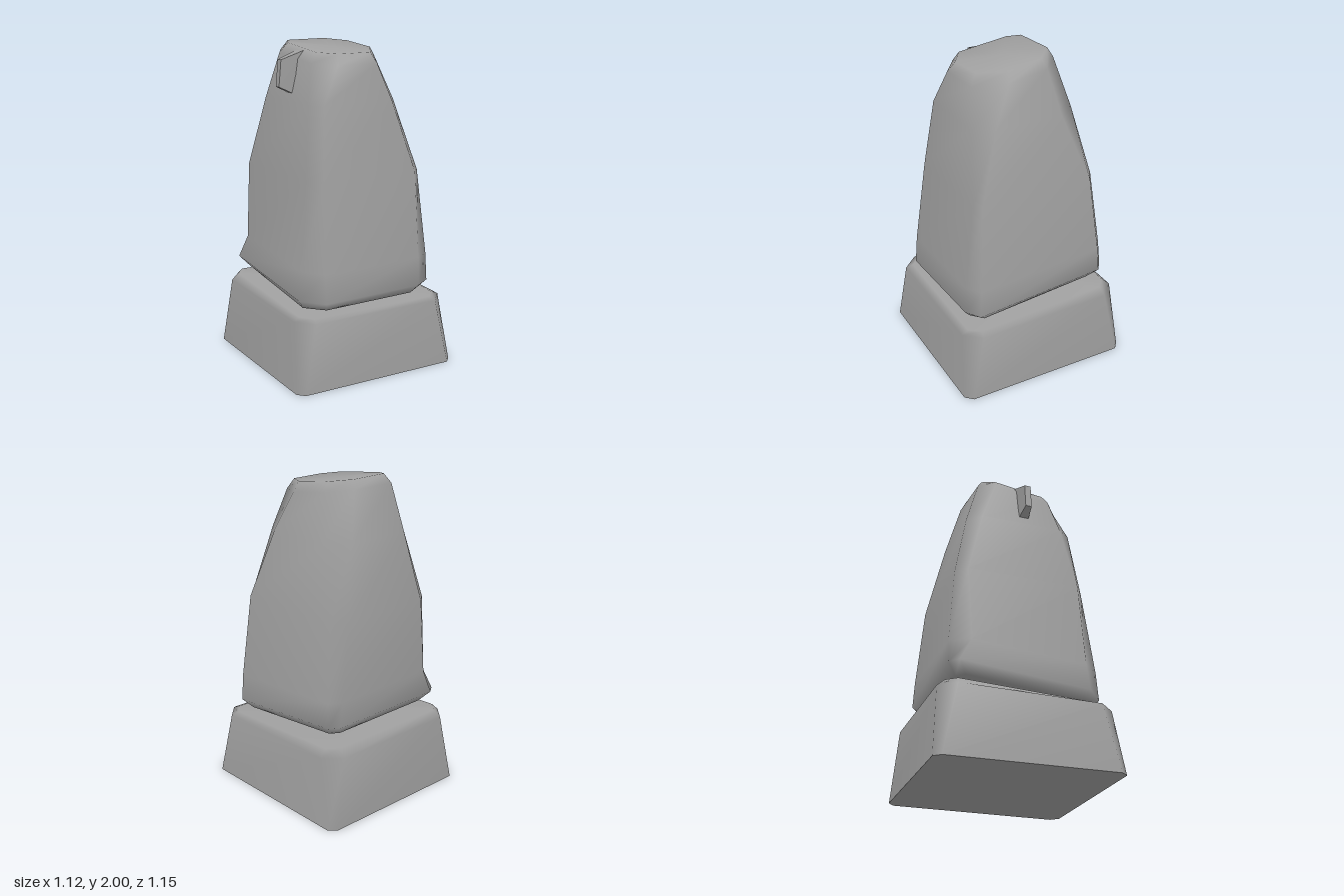
import * as THREE from 'three';

const stone = new THREE.MeshStandardMaterial({ color: 0xa0a0a0 });
stone.name = 'grey stone';

// Skin between rings of [x, z] corners; each ring lies on the plane y + slope * z.
// Shared vertices let large faces dominate the normals, so the bevels look soft.
function loft(rings, capBottom, capTop) {
  const pos = [], idx = [], n = rings[0].pts.length;
  const height = (r, z) => r.y + (r.slope || 0) * z;
  for (const r of rings) for (const [x, z] of r.pts) pos.push(x, height(r, z), z);
  for (let k = 0; k < rings.length - 1; k++) {
    for (let i = 0; i < n; i++) {
      const j = (i + 1) % n;
      const a = k * n + i, b = k * n + j, c = a + n, d = b + n;
      idx.push(b, a, c, b, c, d);
    }
  }
  const cap = (k, up) => {
    const r = rings[k], m = pos.length / 3;
    const x = r.pts.reduce((s, p) => s + p[0], 0) / n;
    const z = r.pts.reduce((s, p) => s + p[1], 0) / n;
    pos.push(x, height(r, z), z);
    for (let i = 0; i < n; i++) {
      const a = k * n + i, b = k * n + (i + 1) % n;
      if (up) idx.push(m, b, a); else idx.push(m, a, b);
    }
  };
  if (capBottom) cap(0, false);
  if (capTop) cap(rings.length - 1, true);
  const g = new THREE.BufferGeometry();
  g.setAttribute('position', new THREE.Float32BufferAttribute(pos, 3));
  g.setIndex(idx);
  g.computeVertexNormals();
  return g;
}

// Corners run back left, back right, front right, front left, two points each
const plinthRings = [
  { y: 0, pts: [[-0.53, -0.53], [-0.49, -0.575], [0.51, -0.56], [0.555, -0.52],
    [0.545, 0.53], [0.50, 0.575], [-0.52, 0.555], [-0.56, 0.51]] },
  { y: 0.425, slope: -0.025, pts: [[-0.50, -0.44], [-0.41, -0.54], [0.43, -0.53], [0.525, -0.43],
    [0.515, 0.44], [0.42, 0.54], [-0.43, 0.525], [-0.525, 0.42]] },
  { y: 0.455, slope: -0.055, pts: [[-0.46, -0.43], [-0.40, -0.49], [0.41, -0.48], [0.48, -0.42],
    [0.47, 0.43], [0.41, 0.495], [-0.42, 0.48], [-0.48, 0.41]] },
];

const bodyRings = [
  { y: 0.495, slope: -0.1, pts: [[-0.40, -0.37], [-0.34, -0.41], [0.35, -0.41], [0.40, -0.37],
    [0.39, 0.37], [0.31, 0.43], [-0.31, 0.44], [-0.42, 0.35]] },
  { y: 0.555, slope: -0.1, pts: [[-0.455, -0.42], [-0.39, -0.468], [0.40, -0.465], [0.455, -0.42],
    [0.44, 0.42], [0.34, 0.475], [-0.34, 0.49], [-0.463, 0.38]] },
  { y: 0.72, slope: -0.08, pts: [[-0.43, -0.34], [-0.33, -0.455], [0.38, -0.46], [0.448, -0.41],
    [0.435, 0.41], [0.34, 0.465], [-0.34, 0.475], [-0.435, 0.37]] },
  { y: 1.22, pts: [[-0.40, -0.36], [-0.32, -0.425], [0.30, -0.43], [0.39, -0.37],
    [0.385, 0.37], [0.34, 0.41], [-0.31, 0.41], [-0.395, 0.35]] },
  { y: 1.65, pts: [[-0.33, -0.25], [-0.25, -0.335], [0.19, -0.34], [0.30, -0.21],
    [0.295, 0.23], [0.21, 0.345], [-0.27, 0.35], [-0.33, 0.27]] },
  { y: 1.91, slope: -0.12, pts: [[-0.285, -0.15], [-0.22, -0.25], [0.10, -0.265], [0.225, -0.15],
    [0.24, 0.11], [0.13, 0.30], [-0.15, 0.31], [-0.275, 0.21]] },
  { y: 1.97, slope: -0.12, pts: [[-0.235, -0.135], [-0.19, -0.215], [0.08, -0.235], [0.19, -0.13],
    [0.21, 0.10], [0.11, 0.255], [-0.12, 0.27], [-0.23, 0.19]] },
];

export function createModel() {
  const model = new THREE.Group();
  model.name = 'standingStone';
  const add = (name, geometry) => {
    const mesh = new THREE.Mesh(geometry, stone);
    mesh.name = name;
    model.add(mesh);
    return mesh;
  };

  add('plinth', loft(plinthRings, false, true));
  add('plinthUnderside', loft(plinthRings.slice(0, 1), true, false));
  add('body', loft(bodyRings, true, true));

  // Small wedge near the top of the side, tapering outward
  const nub = new THREE.BoxGeometry(0.17, 1, 1);
  const p = nub.attributes.position;
  for (let i = 0; i < p.count; i++) {
    const outer = p.getX(i) < 0, top = p.getY(i) > 0, front = p.getZ(i) > 0;
    p.setXYZ(i,
      outer ? (top ? -0.385 : -0.40) : -0.23,
      outer ? (top ? 1.90 : 1.74) : (top ? 1.955 : 1.66),
      outer ? (front ? 0.05 : 0.01) : (front ? 0.07 : -0.015));
  }
  nub.computeVertexNormals();
  add('sideNub', nub);

  return model;
}
